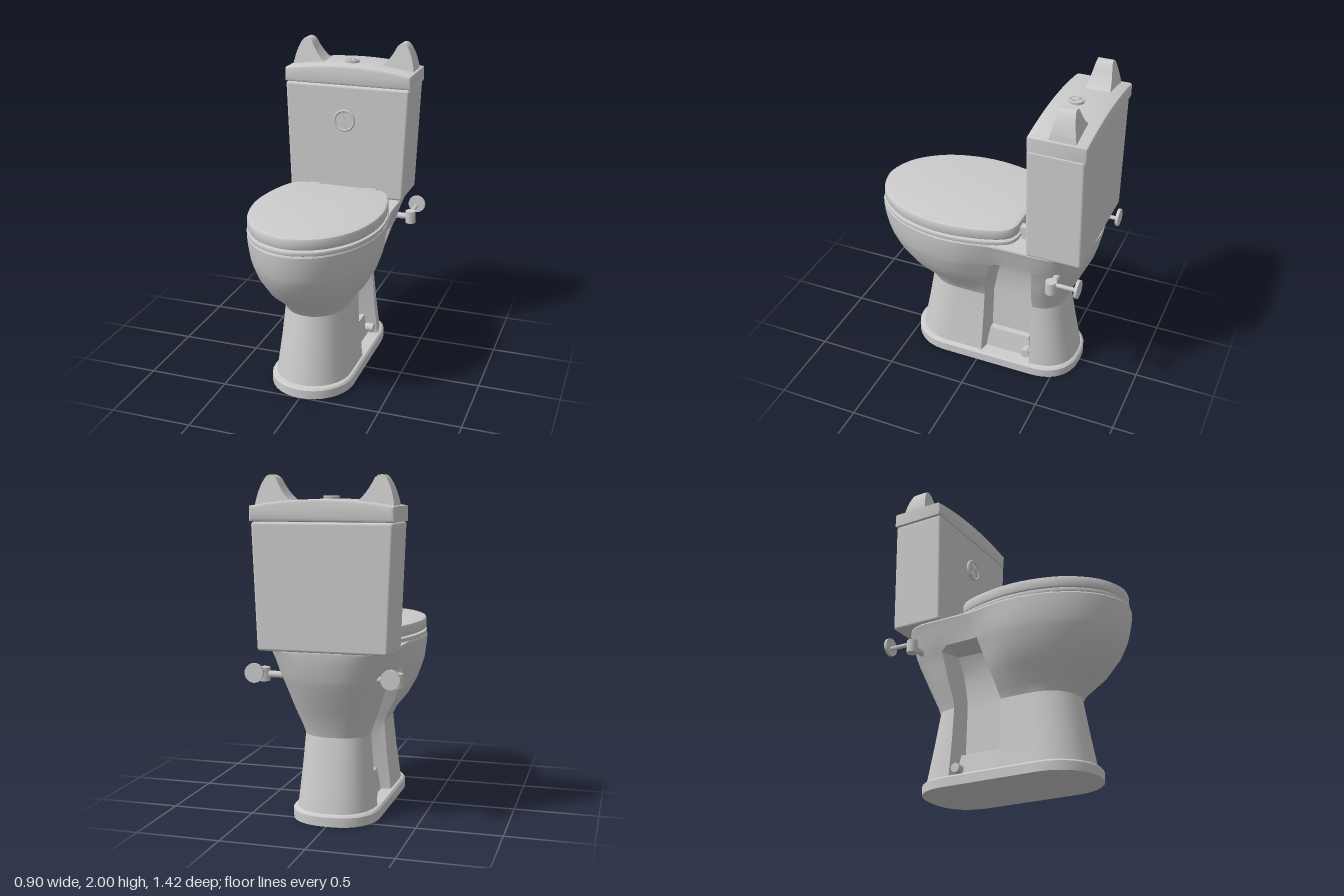
import * as THREE from 'three';
import { RoundedBoxGeometry } from 'three/addons/geometries/RoundedBoxGeometry.js';
import { toCreasedNormals } from 'three/addons/utils/BufferGeometryUtils.js';

const smooth = new THREE.MeshStandardMaterial({ color: 0xcccccc });
const flat = new THREE.MeshStandardMaterial({ color: 0xcccccc, flatShading: true });

function add(group, name, geometry, x = 0, y = 0, z = 0, material = smooth) {
  const mesh = new THREE.Mesh(geometry, material);
  mesh.name = name;
  mesh.position.set(x, y, z);
  group.add(mesh);
  return mesh;
}

const cylX = (r, len, n = 16) => new THREE.CylinderGeometry(r, r, len, n).rotateZ(Math.PI / 2);
const cylZ = (r, len, n = 16) => new THREE.CylinderGeometry(r, r, len, n).rotateX(Math.PI / 2);

// Pedestal levels: y, front z, back z, front curve centre, back curve centre,
// half width, rear half width, recess front z, recess back z, recess wall x (9 = no recess)
const LEVELS = [
  [0, .505, -.62, .24, -.36, .26, .26, -.02, -.35, 9],
  [.055, .505, -.62, .24, -.36, .26, .26, -.02, -.35, 9],
  [.066, .495, -.61, .24, -.35, .25, .25, -.02, -.35, 9],
  [.07, .47, -.60, .23, -.35, .235, .235, -.02, -.35, .12],
  [.3, .425, -.555, .2, -.35, .21, .21, -.025, -.35, .115],
  [.5, .39, -.52, .17, -.34, .195, .195, -.03, -.35, .11],
  [.55, .43, -.535, .15, -.35, .22, .21, -.04, -.35, .11],
  [.65, .56, -.58, .14, -.36, .3, .25, -.06, -.36, .12],
  [.75, .64, -.625, .13, -.38, .355, .28, -.09, -.37, .14],
  [.83, .68, -.66, .13, -.4, .383, .305, -.115, -.38, .18],
  [.86, .69, -.67, .13, -.4, .393, .32, -.12, -.38, 9],
  [.95, .71, -.69, .13, -.42, .405, .345, -.12, -.38, 9],
  [1.01, .715, -.7, .13, -.45, .41, .365, -.12, -.38, 9],
  [1.02, .71, -.7, .13, -.45, .405, .362, -.12, -.38, 9],
];

// Half width of a level at depth z: round front, easing to the rear width, round back
function halfWidth([, zf, zb, cf, cb, w, wb], z) {
  if (z > cf) return w * Math.sqrt(Math.max(0, 1 - ((z - cf) / (zf - cf)) ** 2));
  const t = THREE.MathUtils.smoothstep(-z, -cf, .2);
  const side = w + (wb - w) * t;
  if (z > cb) return side;
  return side * Math.max(0, 1 - ((z - cb) / (zb - cb)) ** 2.4 || 0) ** (1 / 2.4);
}

function levelRing(level) {
  const [y, zf, zb, , , , , e1, e2, wall] = level;
  const side = [], F = 12, B = 8;
  for (let k = 0; k <= F; k++) {
    const z = e1 + (zf - e1) * Math.cos(k / F * Math.PI / 2);
    side.push([k ? halfWidth(level, z) : 0, y, z]);
  }
  for (const z of [e1 - .03, (e1 + e2) / 2, e2 + .04]) {
    side.push([Math.min(wall, halfWidth(level, z)), y, z]);
  }
  for (let k = 0; k <= B; k++) {
    const z = e2 + (zb - e2) * Math.sin(k / B * Math.PI / 2);
    side.push([k < B ? halfWidth(level, z) : 0, y, z]);
  }
  const mirrored = side.slice(1, -1).reverse().map(([x, h, z]) => [-x, h, z]);
  return [...side, ...mirrored];
}

function pedestalGeometry() {
  const rings = LEVELS.map(levelRing), n = rings[0].length, index = [];
  for (let r = 0; r < rings.length - 1; r++) {
    for (let i = 0; i < n; i++) {
      const a = r * n + i, b = r * n + (i + 1) % n;
      index.push(a, b, b + n, a, b + n, a + n);
    }
  }
  const points = rings.flat(), bottom = points.length, last = (rings.length - 1) * n;
  points.push([0, 0, 0], [0, 1.02, 0]);
  for (let i = 0; i < n; i++) {
    const j = (i + 1) % n;
    index.push(bottom, j, i, bottom + 1, last + i, last + j);
  }
  const g = new THREE.BufferGeometry();
  g.setAttribute('position', new THREE.Float32BufferAttribute(points.flat(), 3));
  g.setIndex(index);
  return toCreasedNormals(g, .3);
}

// Egg-shaped plate with a straight back edge, lying flat
function platePlan(inset) {
  const half = [[.24, -.268], [.29, -.25], [.33, -.2], [.375, -.06], [.4, .12], [.385, .3],
    [.325, .48], [.21, .625], [.1, .685], [0, .705]];
  const pts = [...half, ...half.slice(0, -1).reverse().map(([x, z]) => [-x, z])];
  const curve = new THREE.CatmullRomCurve3(pts.map(([x, z]) => new THREE.Vector3(x, -z, 0)));
  const k = 1 - inset / .4;
  return new THREE.Shape(curve.getPoints(56).map(p => new THREE.Vector2(p.x * k, (p.y + .22) * k - .22)));
}
function plate(y0, y1, inset, bevel) {
  const g = new THREE.ExtrudeGeometry(platePlan(inset + bevel), {
    depth: y1 - y0 - 2 * bevel, bevelSize: bevel, bevelThickness: bevel, bevelSegments: 2,
  });
  return toCreasedNormals(g.rotateX(-Math.PI / 2).translate(0, y0 + bevel, 0), .6);
}

function tankGeometry() {
  const g = new RoundedBoxGeometry(.81, .72, .335, 2, .016);
  const p = g.attributes.position;
  for (let i = 0; i < p.count; i++) p.setX(i, p.getX(i) * (.965 + p.getY(i) * .1));
  return g;
}

function tankLidGeometry() {
  const s = new THREE.Shape();
  s.moveTo(-.398, 1.757);
  s.lineTo(.398, 1.757);
  s.lineTo(.398, 1.815);
  s.quadraticCurveTo(.2, 1.85, 0, 1.85);
  s.quadraticCurveTo(-.2, 1.85, -.398, 1.815);
  const g = new THREE.ExtrudeGeometry(s, {
    depth: .315, bevelSize: .015, bevelThickness: .015, bevelSegments: 2, curveSegments: 8,
  });
  return toCreasedNormals(g.translate(0, 0, -.695), .5);
}

// Pointed ear, thinner towards the tip
function earGeometry(s) {
  const e = new THREE.Shape();
  e.moveTo(s * .398, 1.81);
  e.lineTo(s * .395, 1.85);
  e.quadraticCurveTo(s * .375, 1.95, s * .337, 1.992);
  e.quadraticCurveTo(s * .31, 2.008, s * .283, 1.98);
  e.quadraticCurveTo(s * .24, 1.89, s * .19, 1.855);
  e.lineTo(s * .19, 1.81);
  const g = new THREE.ExtrudeGeometry(e, { depth: 2, bevelEnabled: false, curveSegments: 6 });
  const p = g.attributes.position;
  for (let i = 0; i < p.count; i++) {
    const t = (p.getY(i) - 1.81) / .19;
    p.setZ(i, -.567 + (p.getZ(i) - 1) * (.082 - .036 * t));
  }
  g.computeVertexNormals();
  return toCreasedNormals(g, .6);
}

// Small round disc with a raised rim and spokes, facing +z
function spokedDisc(name, r, depth) {
  const g = new THREE.Group();
  g.name = name;
  add(g, 'disc', cylZ(r * .95, depth, 24), 0, 0, depth / 2);
  add(g, 'rim', new THREE.TorusGeometry(r * .88, r * .12, 6, 24), 0, 0, depth);
  add(g, 'hub', cylZ(r * .18, depth * .6, 12), 0, 0, depth);
  for (let i = 0; i < 8; i++) {
    const spoke = new THREE.BoxGeometry(r * .75, r * .1, depth * .5).translate(r * .45, 0, 0);
    add(g, 'spoke', spoke.rotateZ(i * Math.PI / 4 + .2), 0, 0, depth);
  }
  return g;
}

export function createModel() {
  const model = new THREE.Group();
  model.name = 'toilet';

  add(model, 'pedestalBowl', pedestalGeometry());
  add(model, 'seat', plate(1.018, 1.045, -.003, .006));
  add(model, 'seatLid', plate(1.05, 1.122, 0, .014));

  // Cistern
  add(model, 'tank', tankGeometry(), 0, 1.38, -.532);
  add(model, 'tankNeck', new THREE.BoxGeometry(.77, .03, .3), 0, 1.742, -.535);
  add(model, 'tankLid', tankLidGeometry());

  const badge = spokedDisc('frontBadge', .072, .013);
  badge.position.set(-.008, 1.52, -.366);
  const button = spokedDisc('flushButton', .047, .015);
  button.rotation.x = -Math.PI / 2;
  button.position.set(-.005, 1.862, -.505);
  model.add(badge, button);

  for (const s of [1, -1]) {
    add(model, 'ear', earGeometry(s));

    // Seat hinge
    add(model, 'hingeBarrel', cylX(.034, .075), s * .187, 1.07, -.31);
    add(model, 'hingeFoot', new RoundedBoxGeometry(.07, .05, .07, 1, .008), s * .187, 1.04, -.315);
    add(model, 'hingeArm', new THREE.BoxGeometry(.045, .03, .06), s * .187, 1.075, -.27);

    // Floor fixing inside the side recess
    const foot = new THREE.BoxGeometry(.1, .145, .31);
    const p = foot.attributes.position;
    for (let i = 0; i < p.count; i++) if (p.getY(i) > 0) {
      p.setX(i, p.getX(i) - s * .02);
      p.setZ(i, p.getZ(i) * .85);
    }
    add(model, 'fixingBlock', foot, s * .125, .137, -.185, flat);
    add(model, 'fixingBolt', cylX(.028, .07), s * .185, .12, -.318);

    // Water valve
    const valve = new THREE.Group();
    valve.name = 'waterValve';
    add(valve, 'valvePipe', cylX(.02, .16), s * .32, .86, -.535);
    add(valve, 'valveBody', new THREE.CylinderGeometry(.034, .034, .08, 12), s * .395, .86, -.535);
    add(valve, 'valveStem', cylZ(.013, .16, 10), s * .395, .882, -.615);
    add(valve, 'valveHandle', cylZ(.056, .018, 20), s * .395, .893, -.698);
    model.add(valve);
  }
  return model;
}
